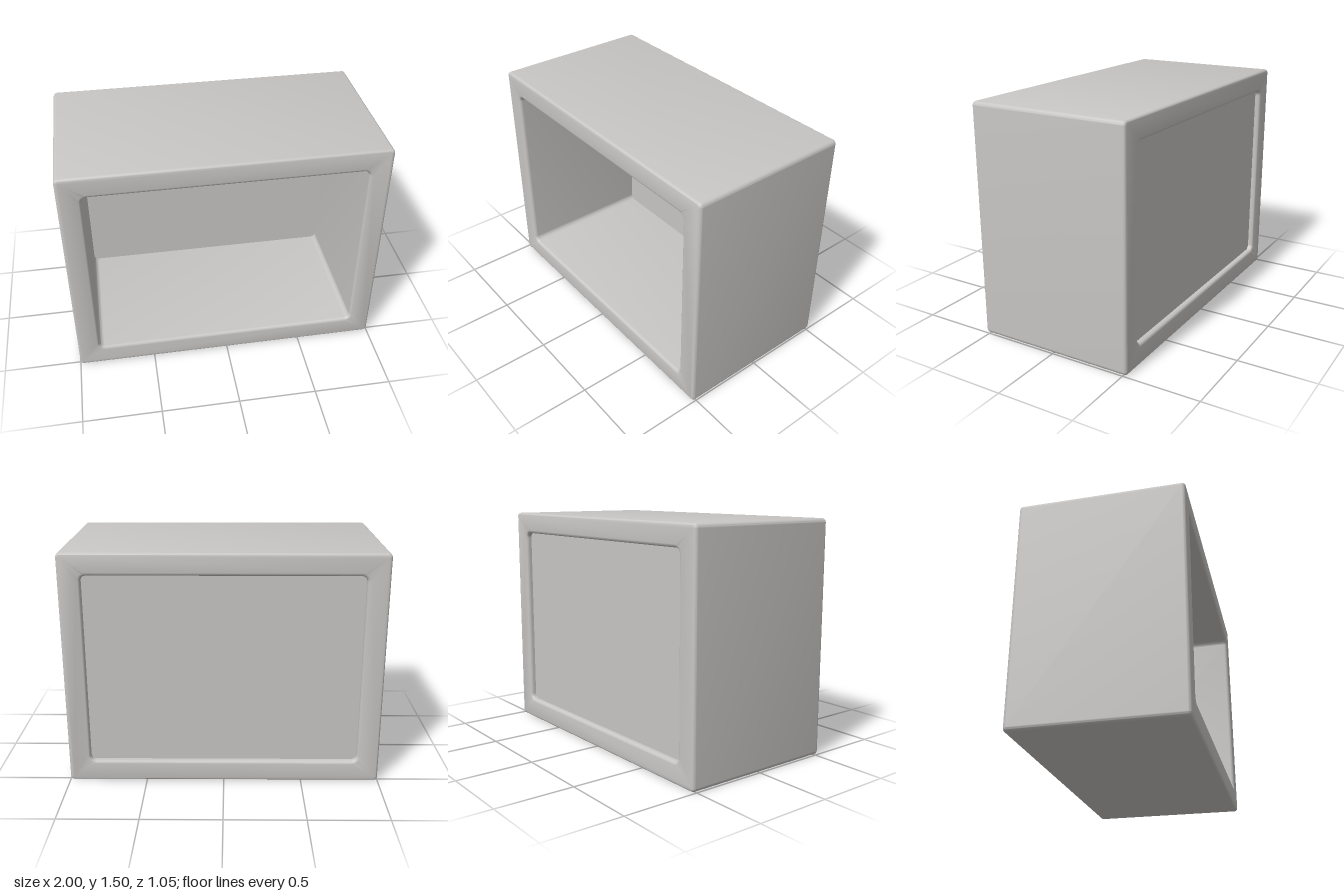
import * as THREE from 'three';
import { toCreasedNormals } from 'three/addons/utils/BufferGeometryUtils.js';

const WIDTH = 2, HEIGHT = 1.505, DEPTH = 1.05, BEVEL = 0.02;
const OPEN_W = 1.72, OPEN_H = 1.226;

// Rounded rectangle centred on the origin
function roundedRect(path, w, h, r) {
  const x = w / 2, y = h / 2;
  path.moveTo(-x + r, -y);
  path.lineTo(x - r, -y);
  path.absarc(x - r, -y + r, r, -Math.PI / 2, 0);
  path.lineTo(x, y - r);
  path.absarc(x - r, y - r, r, 0, Math.PI / 2);
  path.lineTo(-x + r, y);
  path.absarc(-x + r, y - r, r, Math.PI / 2, Math.PI);
  path.lineTo(-x, -y + r);
  path.absarc(-x + r, -y + r, r, Math.PI, Math.PI * 1.5);
  path.closePath();
  return path;
}

export function createModel() {
  const group = new THREE.Group();
  group.name = 'openBox';
  const paint = new THREE.MeshStandardMaterial({ color: 0xc8c6c4 });
  paint.name = 'warm light grey';

  // Thick rectangular surround with softened edges inside and out
  const outline = roundedRect(new THREE.Shape(), WIDTH, HEIGHT, 0.027);
  outline.holes.push(roundedRect(new THREE.Path(), OPEN_W, OPEN_H, 0.035));
  const frameGeometry = new THREE.ExtrudeGeometry(outline, {
    depth: DEPTH - 2 * BEVEL,
    bevelEnabled: true,
    bevelSize: BEVEL,
    bevelThickness: BEVEL,
    bevelOffset: -BEVEL,
    bevelSegments: 5,
    curveSegments: 6,
  });
  frameGeometry.translate(0, 0, -DEPTH / 2 + BEVEL);
  const frame = new THREE.Mesh(toCreasedNormals(frameGeometry, 0.6), paint);
  frame.name = 'frame';
  frame.position.y = HEIGHT / 2;
  group.add(frame);

  // Back panel, set slightly in from the rear edge
  const panel = new THREE.Mesh(new THREE.BoxGeometry(OPEN_W + 0.02, OPEN_H + 0.02, 0.095), paint);
  panel.name = 'backPanel';
  panel.position.set(0, HEIGHT / 2, -0.442);
  group.add(panel);

  return group;
}
